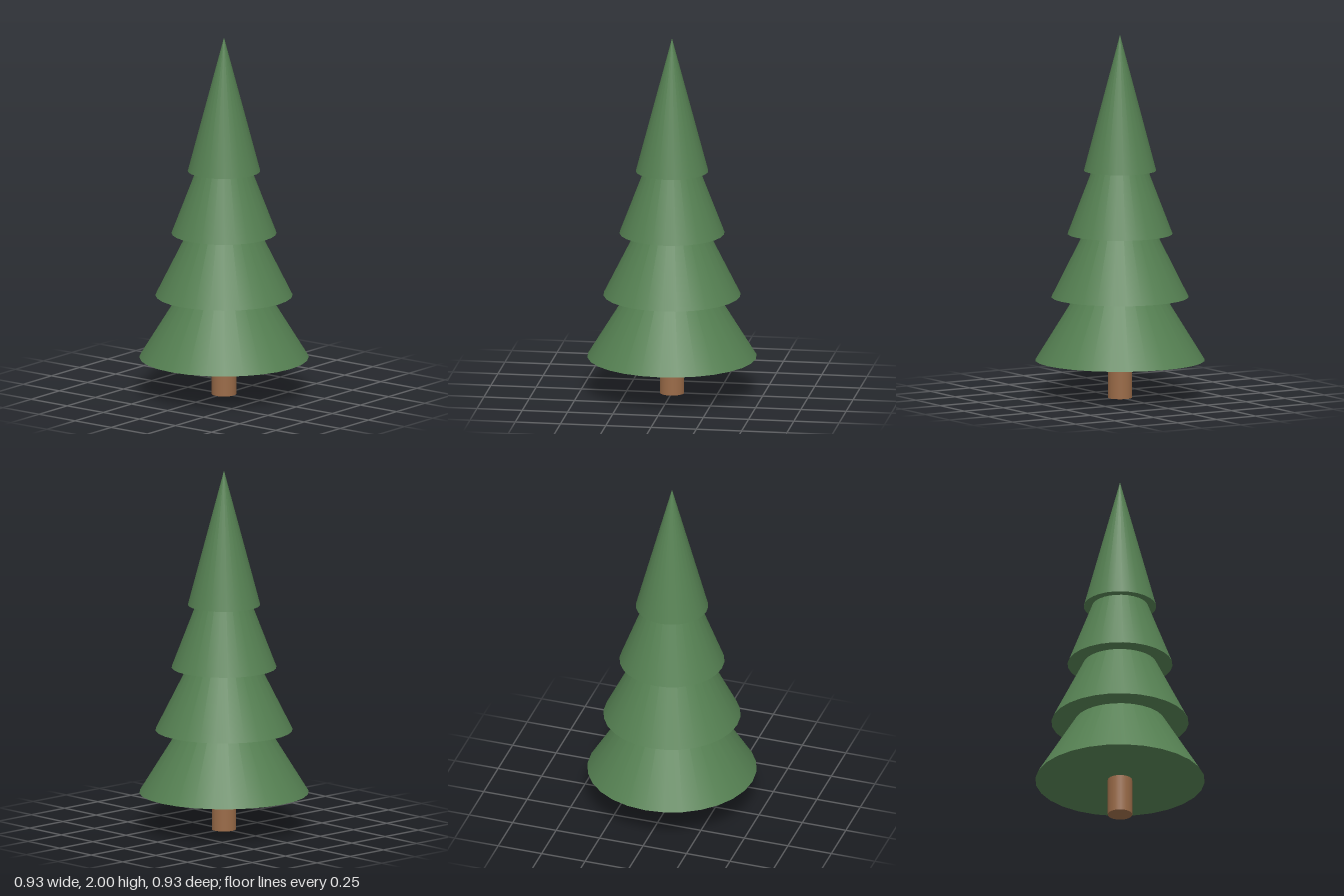
import * as THREE from 'three';

const SIDES = 28;
const TIER_HEIGHT = 0.748;
// Radius of each foliage cone, bottom to top
const TIER_RADII = [0.463, 0.375, 0.287, 0.198];
const FIRST_TIER_Y = 0.207;
const TIER_STEP = (2 - TIER_HEIGHT - FIRST_TIER_Y) / (TIER_RADII.length - 1);

export function createModel() {
  const tree = new THREE.Group();
  tree.name = 'pineTree';

  const needles = new THREE.MeshStandardMaterial({ color: 0x558052 });
  needles.name = 'needle green';
  const bark = new THREE.MeshStandardMaterial({ color: 0x9a6b48 });
  bark.name = 'bark brown';

  // Trunk, ending just inside the lowest tier
  const trunkHeight = FIRST_TIER_Y + 0.01;
  const trunk = new THREE.Mesh(new THREE.CylinderGeometry(0.067, 0.067, trunkHeight, SIDES), bark);
  trunk.name = 'trunk';
  trunk.position.y = trunkHeight / 2;
  tree.add(trunk);

  // Stacked, overlapping foliage cones with closed undersides
  TIER_RADII.forEach((radius, i) => {
    const tier = new THREE.Mesh(new THREE.ConeGeometry(radius, TIER_HEIGHT, SIDES), needles);
    tier.name = `foliageTier${i + 1}`;
    tier.position.y = FIRST_TIER_Y + i * TIER_STEP + TIER_HEIGHT / 2;
    tree.add(tier);
  });

  return tree;
}
